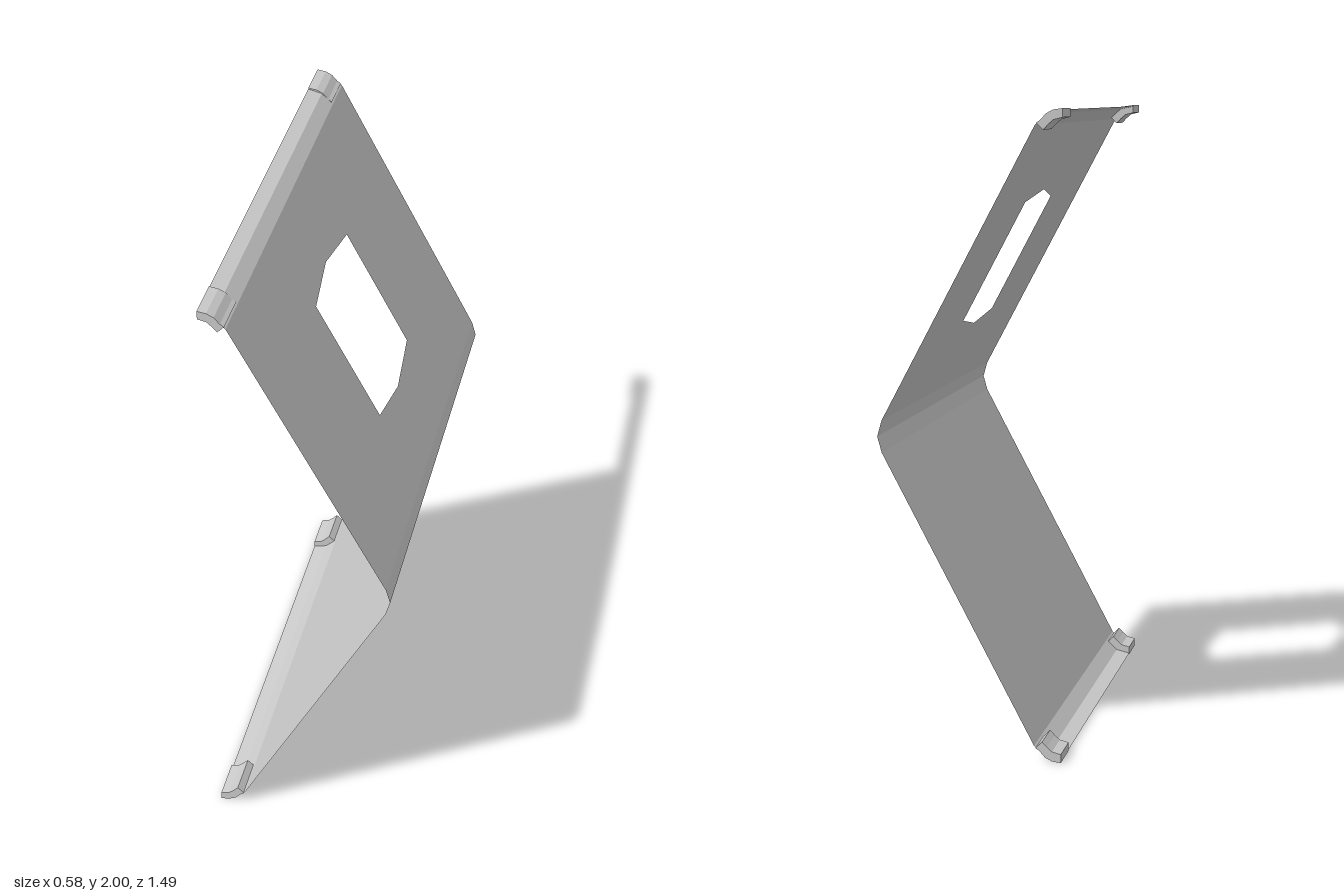
import * as THREE from 'three';

const HALF = 0.745; // half width along z
const sheetMat = new THREE.MeshStandardMaterial({ color: 0xcccccc, flatShading: true, side: THREE.DoubleSide });
const clipMat = new THREE.MeshStandardMaterial({ color: 0xcccccc, flatShading: true });

// Thin surface following an x-y profile; an optional hole is given in (z, y)
function panel(name, [x0, y0], [x1, y1], hole) {
  const shape = new THREE.Shape([[-HALF, y0], [HALF, y0], [HALF, y1], [-HALF, y1]].map(p => new THREE.Vector2(...p)));
  if (hole) shape.holes.push(new THREE.Path(hole.map(p => new THREE.Vector2(...p))));
  const geo = new THREE.ShapeGeometry(shape);
  const pos = geo.attributes.position;
  for (let i = 0; i < pos.count; i++) {
    const z = pos.getX(i), y = pos.getY(i);
    pos.setXYZ(i, x0 + (x1 - x0) * (y - y0) / (y1 - y0), y, z);
  }
  geo.computeVertexNormals();
  const mesh = new THREE.Mesh(geo, sheetMat);
  mesh.name = name;
  return mesh;
}

// Solid bar with an x-y cross-section, between two z positions
function bar(name, points, z0, z1) {
  const shape = new THREE.Shape(points.map(p => new THREE.Vector2(...p)));
  const geo = new THREE.ExtrudeGeometry(shape, { depth: z1 - z0, bevelEnabled: false });
  geo.translate(0, 0, z0);
  const mesh = new THREE.Mesh(geo, clipMat);
  mesh.name = name;
  return mesh;
}

export function createModel() {
  const group = new THREE.Group();
  group.name = 'foldedSheet';

  // Upper half of the bend, panel and lip, mirrored about y = 1 for the lower half
  const profile = [[0.286, 1], [0.272, 1.05], [-0.206, 1.95], [-0.244, 1.985], [-0.29, 1.996]];
  const names = ['bend', 'panel', 'lipCurve', 'lip'];
  const window = [[0.207, 1.307], [0.207, 1.695], [0, 1.727], [-0.223, 1.695], [-0.223, 1.307], [0, 1.277]];
  const flip = ([x, y]) => [x, 2 - y];
  names.forEach((n, i) => {
    const a = profile[i], b = profile[i + 1];
    group.add(panel('upper_' + n, a, b, n === 'panel' ? window : null));
    group.add(panel('lower_' + n, flip(a), flip(b)));
  });

  // Curved corner clips on the ends of both lips
  const clip = [
    [-0.29, 2], [-0.262, 1.996], [-0.24, 1.985], [-0.222, 1.965], [-0.21, 1.957],
    [-0.231, 1.936], [-0.246, 1.952], [-0.262, 1.966], [-0.29, 1.973],
  ];
  for (const [z0, z1, end] of [[0.612, HALF, 'Front'], [-HALF, -0.612, 'Back']]) {
    group.add(bar('upperClip' + end, clip, z0, z1));
    group.add(bar('lowerClip' + end, clip.map(flip), z0, z1));
  }
  return group;
}
